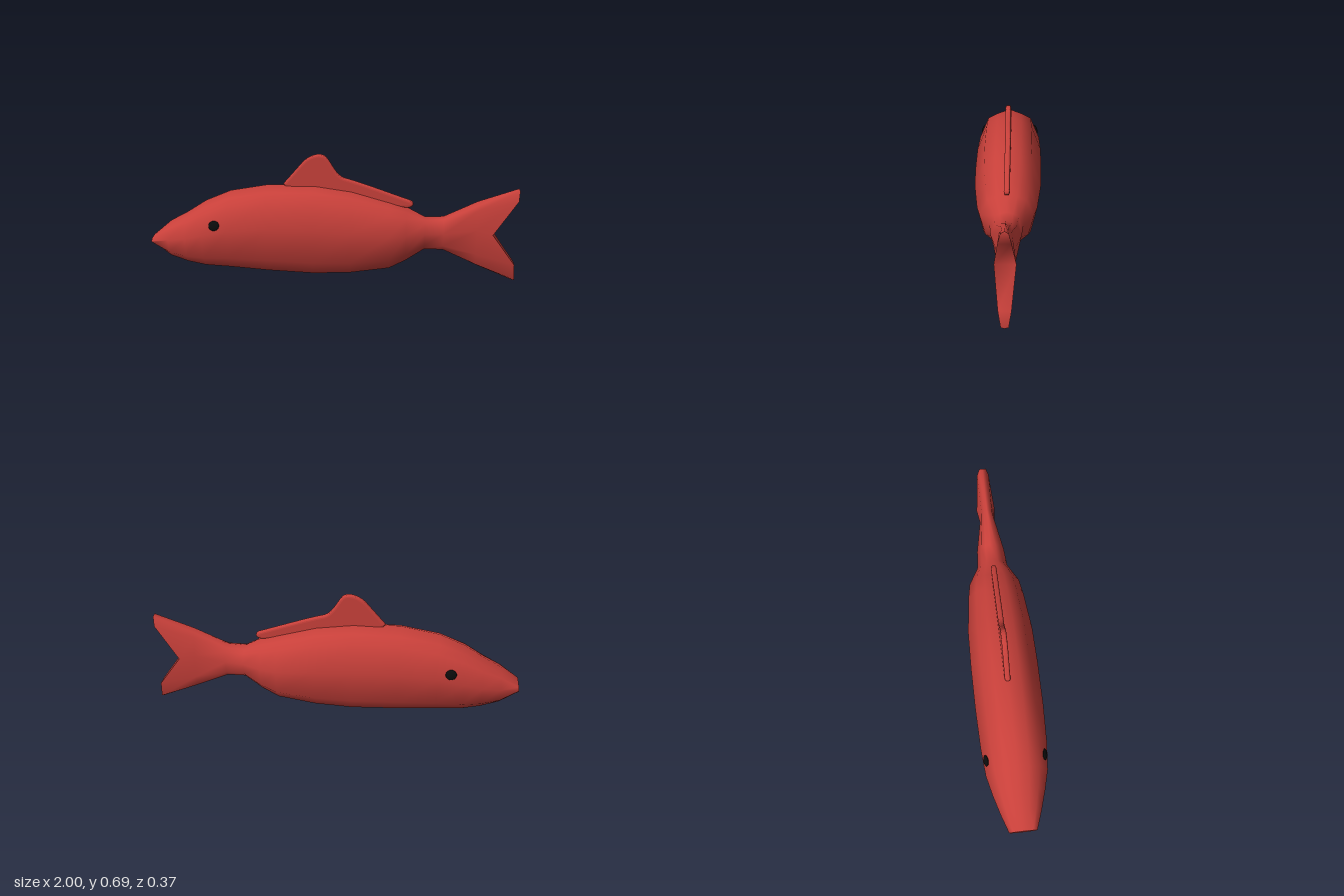
import * as THREE from 'three';

const red = new THREE.MeshStandardMaterial({ color: 0xc8403a });
const black = new THREE.MeshStandardMaterial({ color: 0x0b0b0b });

// Half cross-section from back to belly: [height fraction, width fraction]
const profile = [[1, 0], [0.94, 0.38], [0.87, 0.71], [0.575, 1], [0.19, 0.79], [0.02, 0.39], [0, 0]];

// Stations along the fish: [x, bottom, top, half width]
const stations = [
  [-1, 0.18, 0.215, 0.075], [-0.9, 0.105, 0.3, 0.11], [-0.8, 0.075, 0.355, 0.14],
  [-0.7, 0.058, 0.42, 0.165], [-0.56, 0.052, 0.48, 0.177], [-0.35, 0.037, 0.518, 0.183],
  [-0.1, 0.027, 0.522, 0.183], [0.1, 0.037, 0.495, 0.178], [0.31, 0.068, 0.437, 0.157],
  [0.4, 0.115, 0.408, 0.14], [0.5, 0.178, 0.355, 0.085], [0.6, 0.176, 0.36, 0.077],
  [0.78, 0.088, 0.448, 0.042],
];

// Forked trailing edge of the tail, half ring as [x, y, z]
const tailEdge = [
  [0.995, 0.524, 0], [1, 0.515, 0.019], [0.995, 0.46, 0.032], [0.865, 0.275, 0.053],
  [0.99, 0.1, 0.032], [0.995, 0.012, 0.019], [0.99, 0.002, 0],
];

function meshFrom(name, positions, index) {
  const geometry = new THREE.BufferGeometry();
  geometry.setAttribute('position', new THREE.Float32BufferAttribute(positions.flat(), 3));
  geometry.setIndex(index);
  geometry.computeVertexNormals();
  const mesh = new THREE.Mesh(geometry, red);
  mesh.name = name;
  return mesh;
}

// Skin lofted through mirrored half rings
function loft(name, halfRings) {
  const rings = halfRings.map((h) => [...h, ...h.slice(1, -1).reverse().map(([x, y, z]) => [x, y, -z])]);
  const n = rings[0].length;
  const index = [];
  for (let i = 0; i < rings.length - 1; i++) {
    for (let j = 0; j < n; j++) {
      const a = i * n + j, b = i * n + (j + 1) % n;
      index.push(a, b, a + n, b, b + n, a + n);
    }
  }
  return meshFrom(name, rings.flat(), index);
}

// Strip that closes a half ring against its mirror image
function cap(name, half, facing) {
  const points = half.flatMap(([x, y, z]) => [[x, y, z], [x, y, -z]]);
  const index = [];
  for (let j = 0; j < half.length - 1; j++) {
    const l = j * 2, r = l + 1, l2 = l + 2, r2 = l + 3;
    index.push(...(facing > 0 ? [l, l2, r, r, l2, r2] : [l, r, l2, r, r2, l2]));
  }
  return meshFrom(name, points, index);
}

function dorsalFin() {
  const shape = new THREE.Shape();
  shape.moveTo(-0.27, 0.525);
  shape.lineTo(-0.16, 0.652);
  shape.bezierCurveTo(-0.12, 0.69, -0.06, 0.705, -0.035, 0.675);
  shape.bezierCurveTo(0, 0.63, 0.015, 0.58, 0.06, 0.563);
  shape.bezierCurveTo(0.15, 0.54, 0.3, 0.485, 0.42, 0.445);
  shape.bezierCurveTo(0.445, 0.435, 0.44, 0.405, 0.4, 0.405);
  shape.lineTo(0.3, 0.41);
  shape.lineTo(0.1, 0.46);
  shape.lineTo(-0.1, 0.49);
  shape.lineTo(-0.25, 0.5);
  const geometry = new THREE.ExtrudeGeometry(shape, {
    depth: 0.012, curveSegments: 8, bevelEnabled: true,
    bevelThickness: 0.009, bevelSize: 0.014, bevelOffset: -0.014, bevelSegments: 3,
  });
  geometry.translate(0, 0, -0.006);
  const fin = new THREE.Mesh(geometry, red);
  fin.name = 'dorsalFin';
  return fin;
}

export function createModel() {
  const fish = new THREE.Group();
  fish.name = 'fish';

  // Body running into the forked tail
  const rings = stations.map(([x, bottom, top, w]) =>
    profile.map(([fy, fz]) => [x, bottom + (top - bottom) * fy, w * fz]));
  fish.add(loft('bodyAndTail', [...rings, tailEdge]));
  fish.add(cap('mouth', rings[0], -1));
  fish.add(cap('tailTrailingEdge', tailEdge, 1));
  fish.add(dorsalFin());

  // Flat eyes lying on the sloping cheeks
  for (const side of [1, -1]) {
    const eye = new THREE.Mesh(new THREE.SphereGeometry(0.03, 16, 10), black);
    eye.name = side > 0 ? 'leftEye' : 'rightEye';
    eye.position.set(-0.63, 0.323, side * 0.156);
    eye.scale.set(1, 0.9, 0.35);
    eye.rotation.set(-0.35 * side, -0.1 * side, 0);
    fish.add(eye);
  }
  return fish;
}
